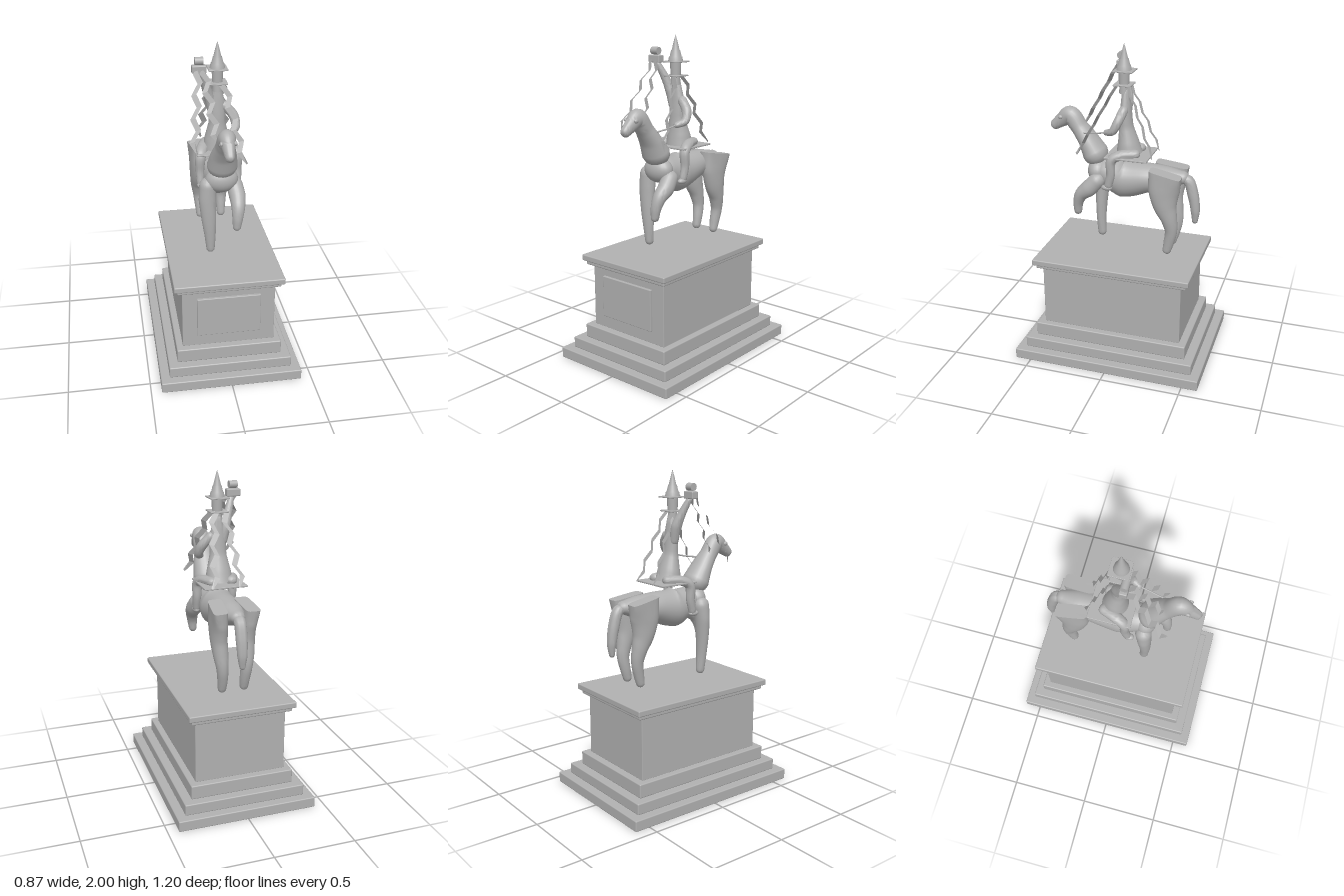
import * as THREE from 'three';
import { toCreasedNormals } from 'three/addons/utils/BufferGeometryUtils.js';
import { RoundedBoxGeometry } from 'three/addons/geometries/RoundedBoxGeometry.js';

const stone = new THREE.MeshStandardMaterial({ color: 0xb0b0b0, side: THREE.DoubleSide });
stone.name = 'grey stone';

function add(parent, name, geometry, x = 0, y = 0, z = 0) {
  const mesh = new THREE.Mesh(geometry, stone);
  mesh.name = name;
  mesh.position.set(x, y, z);
  parent.add(mesh);
  return mesh;
}

// Block between two heights with softened edges
function block(parent, name, w, d, y0, y1, x = 0, z = 0, r = 0.007) {
  const geometry = new RoundedBoxGeometry(w, y1 - y0, d, 2, Math.min(r, (y1 - y0) * 0.45));
  return add(parent, name, geometry, x, (y0 + y1) / 2, z);
}

// Smooth loft along a path; each point is [x, y, z, half width, half depth, roundness]
function limb(points, { roundStart = true, roundEnd = true, steps = 24 } = {}) {
  const sides = 24;
  const curve = new THREE.CatmullRomCurve3(points.map(p => new THREE.Vector3(p[0], p[1], p[2])));
  const rings = [];
  const ring = (t, shift, scale) => {
    const f = t * (points.length - 1);
    const i = Math.min(Math.floor(f), points.length - 2);
    const mix = k => THREE.MathUtils.lerp(points[i][k] ?? 1, points[i + 1][k] ?? 1, f - i);
    const tangent = curve.getTangent(t);
    const side = new THREE.Vector3(1, 0, 0).addScaledVector(tangent, -tangent.x).normalize();
    const normal = tangent.clone().cross(side);
    const w = mix(3), d = mix(4), e = mix(5);
    const centre = curve.getPoint(t).addScaledVector(tangent, shift * Math.min(w, d));
    const bend = v => Math.sign(v) * Math.pow(Math.abs(v), e);
    rings.push(Array.from({ length: sides }, (_, j) => {
      const a = (j / sides) * Math.PI * 2;
      return centre.clone().addScaledVector(side, w * scale * bend(Math.cos(a)))
        .addScaledVector(normal, d * scale * bend(Math.sin(a)));
    }));
  };
  const cap = k => [Math.sin(k * Math.PI / 8), Math.max(Math.cos(k * Math.PI / 8), 0.001)];
  if (roundStart) for (let k = 4; k > 0; k--) ring(0, -cap(k)[0], cap(k)[1]);
  else ring(0, 0, 0.001);
  for (let i = 0; i <= steps; i++) ring(i / steps, 0, 1);
  if (roundEnd) for (let k = 1; k <= 4; k++) ring(1, cap(k)[0], cap(k)[1]);
  else ring(1, 0, 0.001);

  const index = [];
  for (let i = 0; i < rings.length - 1; i++) for (let j = 0; j < sides; j++) {
    const a = i * sides + j, b = i * sides + (j + 1) % sides;
    index.push(a, b, a + sides, b, b + sides, a + sides);
  }
  const geometry = new THREE.BufferGeometry().setFromPoints(rings.flat());
  geometry.setIndex(index);
  geometry.computeVertexNormals();
  return toCreasedNormals(geometry, 0.9);
}

function ellipsoid(parent, name, x, y, z, rx, ry, rz) {
  add(parent, name, new THREE.SphereGeometry(1, 24, 16), x, y, z).scale.set(rx, ry, rz);
}

// Zigzag streamer made of a flat strip
function ribbon(parent, from, to, swing) {
  const a = new THREE.Vector3(...from), b = new THREE.Vector3(...to);
  const points = [], index = [], n = 7;
  for (let i = 0; i <= n; i++) {
    const p = a.clone().lerp(b, i / n);
    p.x += (i % 2 ? 1 : -1) * swing;
    const half = i === n ? 0.003 : 0.015;
    points.push(new THREE.Vector3(p.x - half, p.y - 0.006, p.z - 0.004),
      new THREE.Vector3(p.x + half, p.y + 0.006, p.z + 0.004));
    if (i) index.push(2 * i - 2, 2 * i, 2 * i - 1, 2 * i - 1, 2 * i, 2 * i + 1);
  }
  const indexed = new THREE.BufferGeometry().setFromPoints(points);
  indexed.setIndex(index);
  const geometry = indexed.toNonIndexed();
  geometry.computeVertexNormals();
  add(parent, 'ribbon', geometry);
}

function group(parent, name) {
  const g = new THREE.Group();
  g.name = name;
  parent.add(g);
  return g;
}

function buildPedestal(parent) {
  const g = group(parent, 'pedestal');
  block(g, 'bottomStep', 0.87, 1.2, 0, 0.068);
  block(g, 'middleStep', 0.76, 1.09, 0.066, 0.136);
  block(g, 'topStep', 0.65, 0.98, 0.134, 0.222);
  block(g, 'plinth', 0.57, 0.89, 0.22, 0.62, 0, 0, 0.004);
  block(g, 'lowerCornice', 0.63, 0.96, 0.615, 0.645);
  block(g, 'upperCornice', 0.67, 1.0, 0.642, 0.68);
  block(g, 'plaque', 0.39, 0.03, 0.3, 0.56, 0, 0.447, 0.004);
}

function buildHorse(parent) {
  const g = group(parent, 'horse');
  add(g, 'barrel', limb([[0, 1.2, 0.11, 0.09, 0.08], [0, 1.165, 0, 0.11, 0.122],
    [0, 1.185, -0.15, 0.1, 0.092], [0, 1.2, -0.28, 0.08, 0.068], [0, 1.21, -0.37, 0.045, 0.04]]));
  ellipsoid(g, 'chest', 0, 1.205, 0.16, 0.1, 0.08, 0.068);
  // Head and neck in one sweep
  add(g, 'headAndNeck', limb([[0, 1.468, 0.445, 0.028, 0.032], [0, 1.505, 0.395, 0.038, 0.045],
    [0, 1.535, 0.345, 0.052, 0.06], [0, 1.465, 0.285, 0.058, 0.052],
    [0, 1.39, 0.23, 0.078, 0.06], [0, 1.31, 0.185, 0.092, 0.078]], { steps: 36 }));
  add(g, 'tail', limb([[0, 1.2, -0.36, 0.03, 0.025], [0, 1.195, -0.405, 0.036, 0.034],
    [0, 1.1, -0.44, 0.035, 0.034], [0, 1, -0.456, 0.03, 0.028], [0, 0.935, -0.456, 0.018, 0.018]]));
  add(g, 'standingForeleg', limb([[-0.085, 1.17, 0.16, 0.05, 0.05], [-0.087, 1.08, 0.168, 0.053, 0.044],
    [-0.08, 0.95, 0.175, 0.045, 0.036], [-0.073, 0.84, 0.175, 0.035, 0.03],
    [-0.07, 0.745, 0.17, 0.026, 0.027]]));
  add(g, 'raisedForeleg', limb([[0.08, 1.16, 0.15, 0.05, 0.05], [0.09, 1.105, 0.2, 0.05, 0.052],
    [0.087, 1.06, 0.25, 0.042, 0.042], [0.08, 1, 0.275, 0.033, 0.032],
    [0.075, 0.94, 0.28, 0.025, 0.025]]));
  for (const s of [-1, 1]) {
    ellipsoid(g, 'eye', s * 0.04, 1.53, 0.395, 0.01, 0.013, 0.015);
    // Broad flat-topped haunch tapering to the hoof
    const geometry = limb([[s * 0.09, 1.265, -0.285, 0.045, 0.1, 0.35], [s * 0.088, 1.15, -0.278, 0.05, 0.098, 0.8],
      [s * 0.086, 1.05, -0.285, 0.05, 0.075], [s * 0.082, 0.96, -0.312, 0.045, 0.05],
      [s * 0.076, 0.88, -0.325, 0.036, 0.038], [s * 0.071, 0.8, -0.312, 0.031, 0.033],
      [s * 0.07, 0.745, -0.3, 0.026, 0.027]], { roundStart: false, steps: 30 });
    // Flare the upper rear corner outwards
    const p = geometry.attributes.position;
    for (let i = 0; i < p.count; i++) {
      const rise = THREE.MathUtils.smoothstep(p.getY(i), 1.1, 1.26);
      const back = THREE.MathUtils.clamp((-0.19 - p.getZ(i)) / 0.2, 0, 1);
      p.setX(i, p.getX(i) + s * rise * (back * 0.02 - 0.008));
      p.setY(i, p.getY(i) - rise * back * 0.02);
    }
    geometry.computeVertexNormals();
    add(g, 'hindLeg', toCreasedNormals(geometry, 0.9));
  }
  block(g, 'saddle', 0.27, 0.265, 1.325, 1.336, 0, -0.045, 0.003);
}

function buildRider(parent) {
  const g = group(parent, 'rider');
  add(g, 'coat', limb([[0, 1.72, -0.01, 0.025, 0.022], [0, 1.62, -0.012, 0.05, 0.032],
    [0, 1.5, -0.015, 0.052, 0.042], [0, 1.4, -0.028, 0.075, 0.065],
    [0, 1.335, -0.035, 0.085, 0.08]], { roundEnd: false }));
  add(g, 'neck', new THREE.CylinderGeometry(0.025, 0.03, 0.08, 20), 0, 1.745, 0);
  block(g, 'collar', 0.11, 0.11, 1.755, 1.763, 0, 0, 0.002);
  add(g, 'head', new THREE.CylinderGeometry(0.034, 0.031, 0.085, 24), 0, 1.802, 0);
  // Square brim and stepped pointed crown
  block(g, 'hatBrim', 0.115, 0.12, 1.838, 1.846, 0, -0.005, 0.002);
  add(g, 'hatCrown', new THREE.LatheGeometry([[0.046, 1.842], [0.04, 1.872], [0.036, 1.873],
    [0.027, 1.91], [0.024, 1.911], [0.012, 1.96], [0.001, 2]].map(p => new THREE.Vector2(...p)), 28));
  for (const s of [-1, 1]) {
    add(g, 'leg', limb([[s * 0.06, 1.35, -0.09, 0.035, 0.028], [s * 0.09, 1.345, -0.01, 0.036, 0.03],
      [s * 0.11, 1.315, 0.045, 0.034, 0.03], [s * 0.115, 1.22, 0.05, 0.026, 0.027],
      [s * 0.115, 1.15, 0.065, 0.022, 0.024]]));
    ellipsoid(g, 'foot', s * 0.115, 1.135, 0.075, 0.022, 0.018, 0.035);
  }
  add(g, 'raisedArm', limb([[-0.03, 1.58, -0.012, 0.028, 0.027], [-0.05, 1.67, -0.008, 0.03, 0.034],
    [-0.075, 1.75, 0.015, 0.025, 0.024], [-0.105, 1.83, 0.045, 0.018, 0.018]]));
  add(g, 'reinArm', limb([[0.045, 1.61, -0.01, 0.028, 0.028], [0.095, 1.55, 0.01, 0.03, 0.028],
    [0.105, 1.495, 0.04, 0.026, 0.024], [0.08, 1.475, 0.085, 0.02, 0.018]]));
  const rein = new THREE.CatmullRomCurve3([[0.08, 1.475, 0.09], [0.07, 1.46, 0.16], [0.05, 1.445, 0.27]]
    .map(p => new THREE.Vector3(...p)));
  add(g, 'rein', new THREE.TubeGeometry(rein, 12, 0.005, 8));
  // Object held aloft
  block(g, 'fist', 0.085, 0.045, 1.835, 1.88, -0.115, 0.048, 0.006);
  add(g, 'heldRoller', new THREE.CylinderGeometry(0.023, 0.023, 0.05, 20), -0.115, 1.905, 0.05).rotation.z = Math.PI / 2;
  ribbon(g, [-0.125, 1.85, 0.07], [-0.18, 1.44, 0.31], 0.017);
  ribbon(g, [-0.09, 1.85, 0.07], [-0.04, 1.47, 0.27], 0.017);
  ribbon(g, [0.035, 1.75, 0.04], [0.12, 1.34, 0.26], 0.015);
  ribbon(g, [-0.035, 1.76, -0.03], [-0.09, 1.34, -0.2], 0.017);
  ribbon(g, [0.03, 1.76, -0.03], [0.08, 1.34, -0.2], 0.017);
}

export function createModel() {
  const model = new THREE.Group();
  model.name = 'equestrianStatue';
  buildPedestal(model);
  buildHorse(model);
  buildRider(model);
  return model;
}
